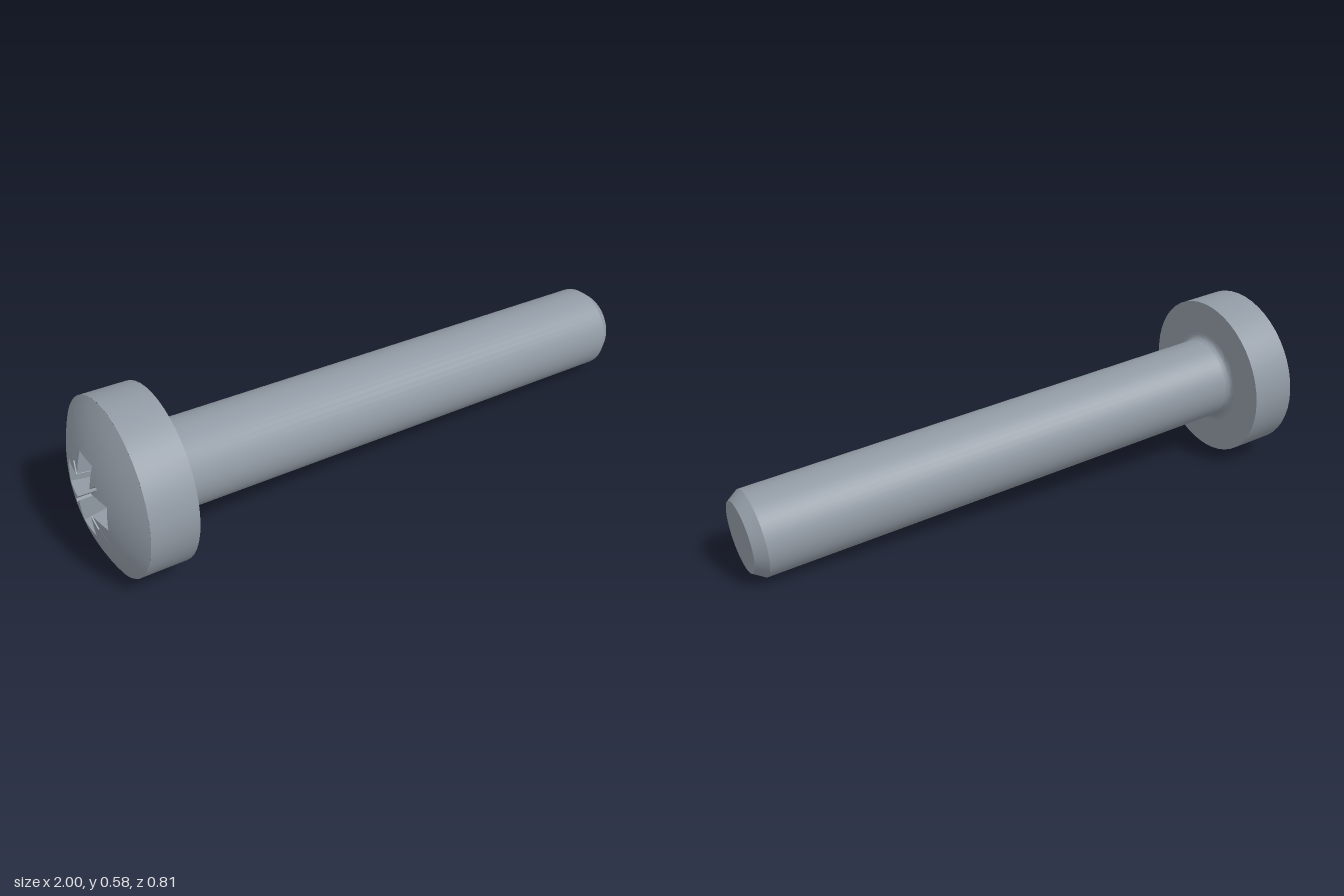
import * as THREE from 'three';
import { toCreasedNormals } from 'three/addons/utils/BufferGeometryUtils.js';

const SHAFT_R = 0.142, HEAD_R = 0.283, LENGTH = 1.78;
const HEAD_H = 0.155, DOME_H = 0.075;
const DOME_R = (HEAD_R ** 2 + DOME_H ** 2) / (2 * DOME_H);

// Height of the domed head at a distance from the axis
const domeY = r => HEAD_H + DOME_H - DOME_R + Math.sqrt(DOME_R ** 2 - r * r);

// Cross-shaped outline: four arms, with a thin diagonal notch between each pair
function crossOutline(arm, w, diag, slit) {
  const s = Math.SQRT1_2;
  const onDiagonal = (r, t) => [(r - t) * s, (r + t) * s];
  const inner = w / s - slit;
  const quarter = [[arm, -w], [arm, w], [w + 2 * slit * s, w], onDiagonal(diag, -slit),
    onDiagonal(diag, slit), [w, w + 2 * slit * s]];
  if (diag < inner) quarter[3] = quarter[4] = [w, w];
  const corners = [];
  for (let q = 0; q < 4; q++) {
    const c = Math.round(Math.cos(q * Math.PI / 2)), n = Math.round(Math.sin(q * Math.PI / 2));
    for (const [x, z] of quarter) corners.push(new THREE.Vector2(x * c - z * n, x * n + z * c));
  }
  // Subdivide each edge so the outline can follow the dome
  const points = [];
  corners.forEach((p, i) => {
    const next = corners[(i + 1) % corners.length];
    for (let k = 0; k < 4; k++) points.push(p.clone().lerp(next, k / 4));
  });
  return points;
}

// Skin between closed rings, ordered from the outside in
function loft(rings) {
  const n = rings[0].length, index = [];
  for (let i = 0; i < rings.length - 1; i++) {
    for (let j = 0; j < n; j++) {
      const a = i * n + j, b = i * n + (j + 1) % n;
      index.push(a, a + n, b, b, a + n, b + n);
    }
  }
  const geometry = new THREE.BufferGeometry().setFromPoints(rings.flat());
  geometry.setIndex(index);
  return toCreasedNormals(geometry, 0.45);
}

export function createModel() {
  const steel = new THREE.MeshStandardMaterial({ color: 0x919aa4 });
  steel.name = 'steel';

  const screw = new THREE.Group();
  screw.name = 'screw';
  const add = (name, geometry) => {
    const mesh = new THREE.Mesh(geometry, steel);
    mesh.name = name;
    screw.add(mesh);
  };
  const lathe = pts => toCreasedNormals(
    new THREE.LatheGeometry(pts.map(([r, y]) => new THREE.Vector2(r, y)), 48), 0.45);

  // Shaft with chamfered tip and a small fillet under the head
  const fillet = 0.025, profile = [[0, -LENGTH], [0.1165, -LENGTH], [SHAFT_R, -LENGTH + 0.038]];
  for (let i = 0; i <= 5; i++) {
    const a = i / 5 * Math.PI / 2;
    profile.push([SHAFT_R + fillet * (1 - Math.cos(a)), -fillet * (1 - Math.sin(a))]);
  }
  add('shaft', lathe(profile));

  // Underside and rim of the head
  add('headRim', lathe([[SHAFT_R + fillet, 0], [HEAD_R, 0], [HEAD_R, HEAD_H]]));

  // Domed top with the cross-shaped opening
  const outline = crossOutline(0.13, 0.042, 0.108, 0.006);
  const domeRings = [];
  for (let k = 0; k <= 6; k++) {
    domeRings.push(outline.map(p => {
      const r = THREE.MathUtils.lerp(HEAD_R, p.length(), k / 6);
      const a = p.angle();
      return new THREE.Vector3(r * Math.cos(a), domeY(r), r * Math.sin(a));
    }));
  }
  add('headDome', loft(domeRings));

  // Tapered recess walls and floor
  const floorY = HEAD_H + DOME_H - 0.13;
  const floor = crossOutline(0.095, 0.034, 0.056, 0.004);
  add('driveRecess', loft([
    domeRings[6],
    floor.map(p => new THREE.Vector3(p.x, floorY, p.y)),
    floor.map(() => new THREE.Vector3(0, floorY - 0.015, 0)),
  ]));

  // Lay the screw down along its slanted axis, with one cross arm upright
  const axis = new THREE.Vector3(-0.975, 0.08, -0.2088).normalize();
  const up = new THREE.Vector3(0, 1, 0).addScaledVector(axis, -axis.y).normalize();
  const side = new THREE.Vector3().crossVectors(axis, up);
  screw.quaternion.setFromRotationMatrix(new THREE.Matrix4().makeBasis(side, axis, up));
  screw.position.set(-0.763, 0.2845, -0.097);

  const model = new THREE.Group();
  model.name = 'model';
  model.add(screw);
  return model;
}
